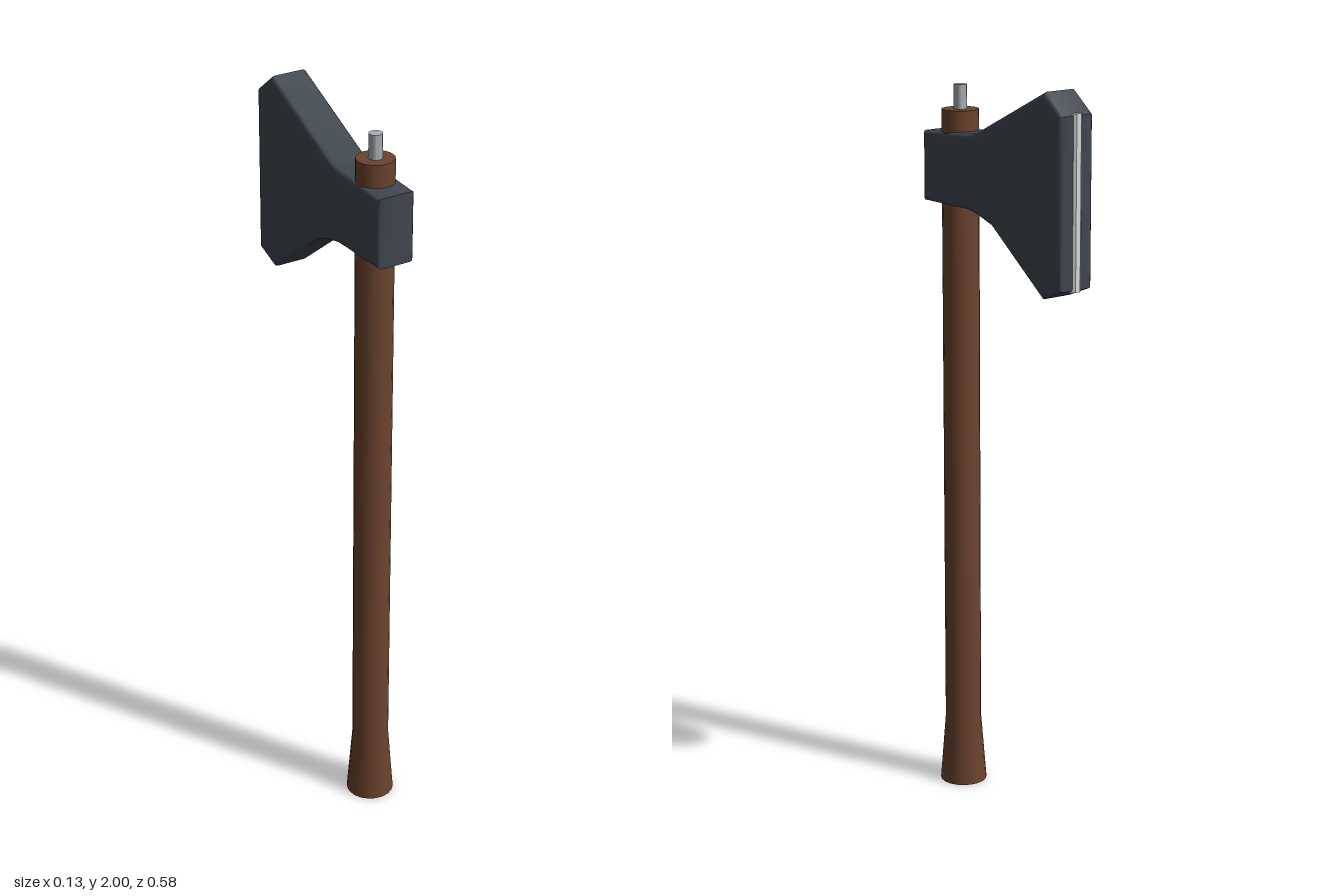
import * as THREE from 'three';
import { toCreasedNormals } from 'three/addons/utils/BufferGeometryUtils.js';

const material = (name, color) => {
  const m = new THREE.MeshStandardMaterial({ color });
  m.name = name;
  return m;
};

export function createModel() {
  const wood = material('brown wood', 0x6b432d);
  const iron = material('dark iron', 0x40474f);
  const steel = material('grey steel', 0xa8adb2);
  const bright = material('bright edge steel', 0xd6dad8);
  const group = new THREE.Group();
  group.name = 'axe';
  const handleZ = 0.192;

  const add = (name, geometry, mat, y = 0, z = 0) => {
    const mesh = new THREE.Mesh(toCreasedNormals(geometry, 0.7), mat);
    mesh.name = name;
    mesh.position.set(0, y, z);
    group.add(mesh);
  };

  // Shaft with flared foot, running through the head to the collar on top
  const profile = [[0, 0], [0.065, 0], [0.05, 0.19], [0.05, 1.91], [0, 1.91]];
  add('handle', new THREE.LatheGeometry(profile.map(p => new THREE.Vector2(...p)), 20), wood, 0, handleZ);

  // Pin standing out of the handle top
  add('pin', new THREE.CylinderGeometry(0.018, 0.018, 0.12, 12), steel, 1.915, handleZ);

  // Axe head: side outline (z, y) extruded across x with a soft bevel
  const outline = [
    [0.289, 1.658], [0.1, 1.658], [0.06, 1.65], [0.0, 1.63], [-0.21, 1.47], [-0.285, 1.5],
    [-0.285, 1.945], [-0.215, 2.0], [0.07, 1.862], [0.1, 1.858], [0.19, 1.852], [0.289, 1.846],
  ];
  const width = 0.107, bevel = 0.012;
  const head = new THREE.ExtrudeGeometry(new THREE.Shape(outline.map(p => new THREE.Vector2(...p))), {
    depth: width - 2 * bevel, bevelEnabled: true, bevelThickness: bevel,
    bevelSize: bevel, bevelOffset: -bevel, bevelSegments: 3,
  });
  head.translate(0, 0, bevel - width / 2);
  head.rotateY(-Math.PI / 2);
  add('head', head, iron);

  // Polished strip set into the cutting edge
  const strip = new THREE.CylinderGeometry(0.0195, 0.0195, 0.455, 8);
  strip.rotateY(Math.PI / 8);
  add('cuttingEdge', strip, bright, 1.7225, -0.273);

  return group;
}
